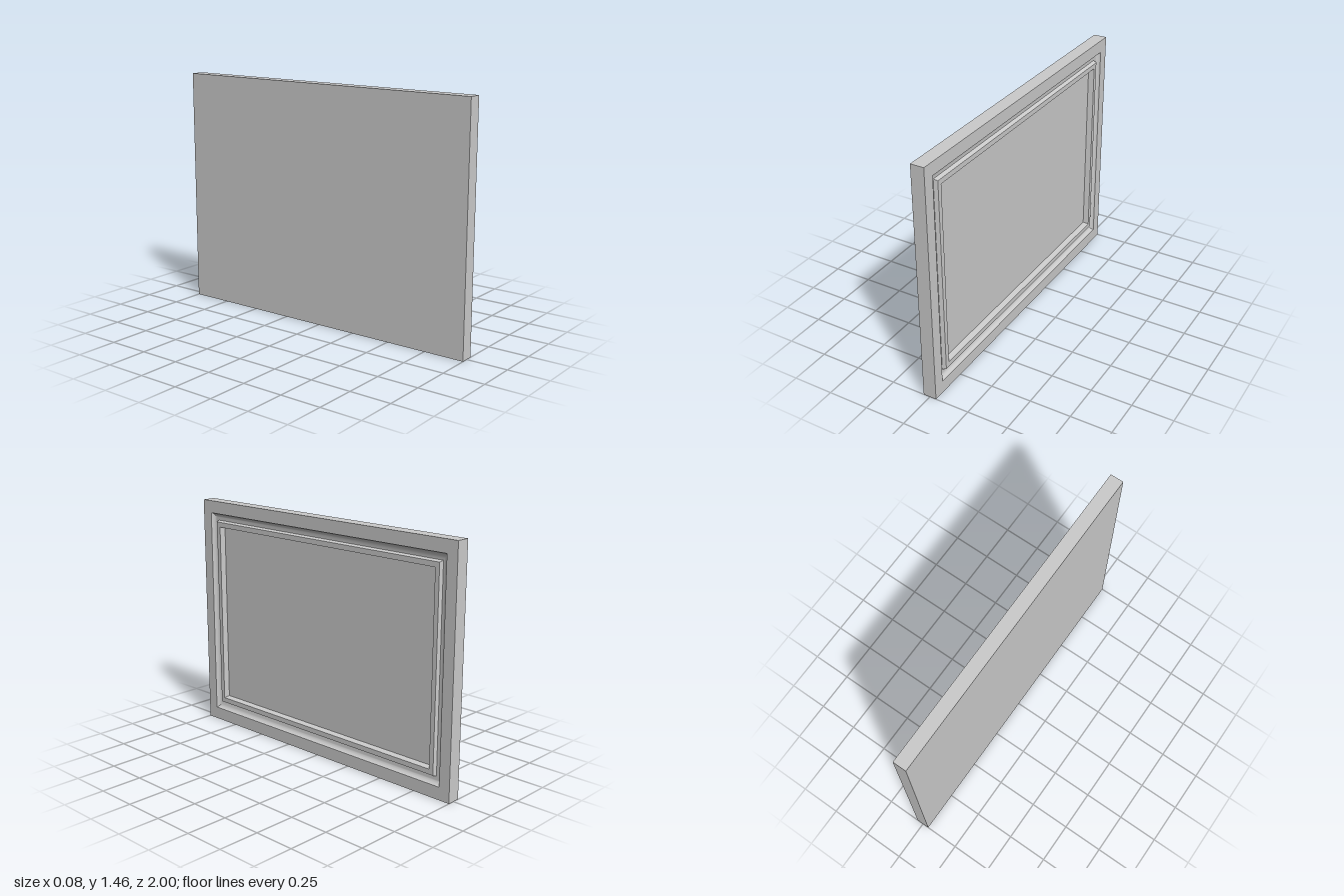
import * as THREE from 'three';
import { toCreasedNormals } from 'three/addons/utils/BufferGeometryUtils.js';

const LENGTH = 2, HEIGHT = 1.456, FACE = 0.041;
const V_SCALE = 1.1; // insets are slightly larger along the height

// Corners of a rectangle set in from the outer edge, at height x off the wall
function corners([inset, x]) {
  const z = LENGTH / 2 - inset;
  const y0 = inset * V_SCALE, y1 = HEIGHT - y0;
  return [[x, y0, z], [x, y0, -z], [x, y1, -z], [x, y1, z]];
}

// Sweeps a profile of [inset, x] points round the rectangle with mitred corners
function mouldingGeometry(profile, { frontCap = false, backCap = false } = {}) {
  const pos = [];
  const quad = (a, b, c, d) => pos.push(...a, ...b, ...c, ...a, ...c, ...d);
  const rings = profile.map(corners);
  for (let r = 0; r < rings.length - 1; r++) {
    for (let i = 0; i < 4; i++) {
      const j = (i + 1) % 4;
      quad(rings[r][i], rings[r][j], rings[r + 1][j], rings[r + 1][i]);
    }
  }
  if (frontCap) quad(...rings[rings.length - 1]);
  if (backCap) quad(...[...rings[0]].reverse());
  const g = new THREE.BufferGeometry();
  g.setAttribute('position', new THREE.Float32BufferAttribute(pos, 3));
  return toCreasedNormals(g, 0.5);
}

export function createModel() {
  const group = new THREE.Group();
  const material = new THREE.MeshStandardMaterial({ color: 0xcccccc });
  const add = (name, profile, caps) => {
    const mesh = new THREE.Mesh(mouldingGeometry(profile, caps), material);
    mesh.name = name;
    group.add(mesh);
  };

  // Flat back, outer edges and the flat border of the face
  add('outerFrame', [[0, -FACE], [0, FACE], [0.07, FACE]], { backCap: true });

  // Concave quarter-round falling from the border to the groove floor
  const cove = [];
  const steps = 10, width = 0.041, depth = 0.027;
  for (let i = 0; i <= steps; i++) {
    const t = (i / steps) * Math.PI / 2;
    cove.push([0.07 + width * (1 - Math.cos(t)), FACE - depth * Math.sin(t)]);
  }
  add('coveMoulding', cove);

  // Raised flat bead with sloping sides
  add('innerBead', [
    [0.111, FACE - depth], [0.118, FACE - 0.004],
    [0.146, FACE - 0.004], [0.153, 0.002],
  ]);

  // Recessed centre panel
  add('centrePanel', [[0.153, 0.002]], { frontCap: true });

  return group;
}
